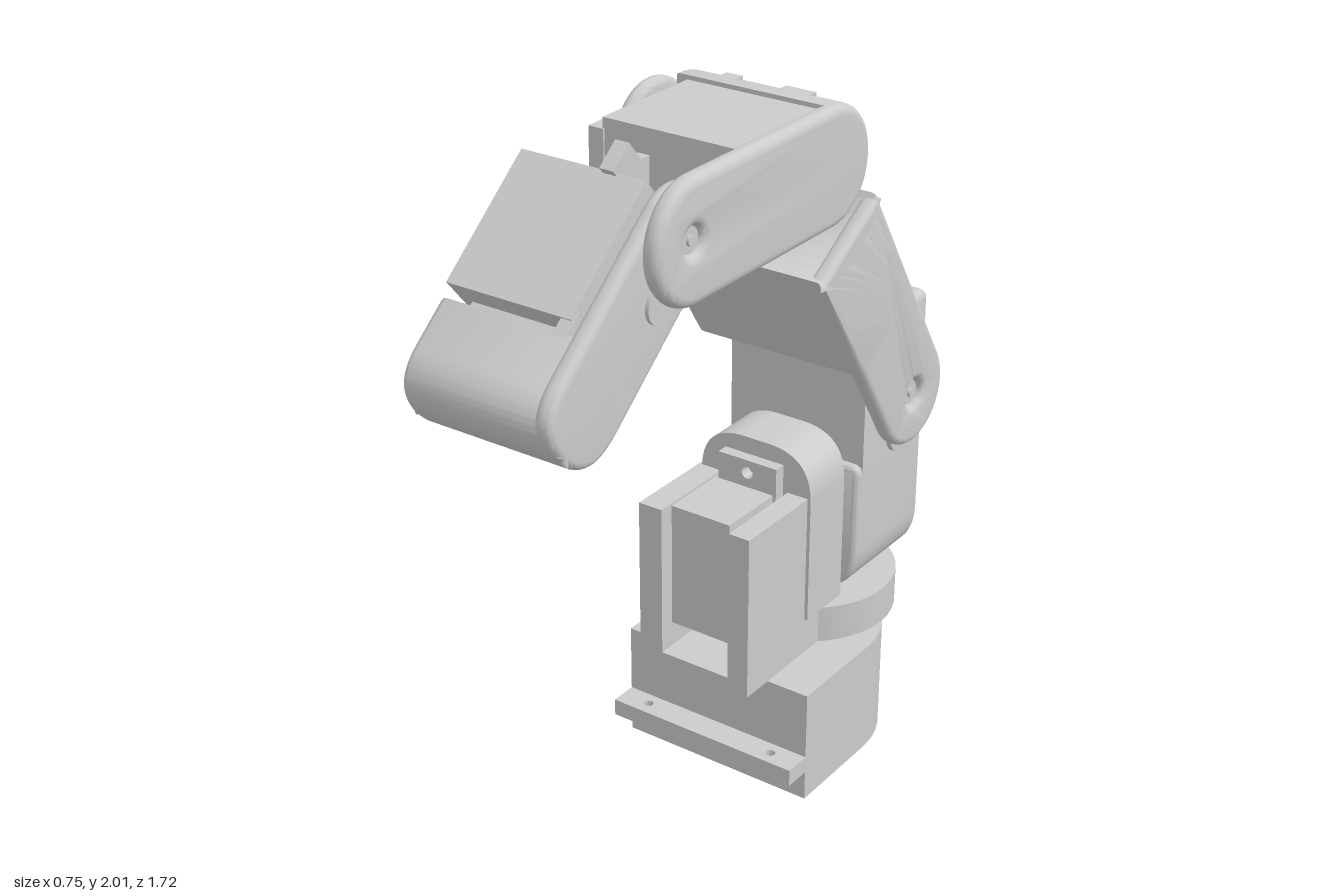
import * as THREE from 'three';
import { toCreasedNormals } from 'three/addons/utils/BufferGeometryUtils.js';

const grey = new THREE.MeshStandardMaterial({ color: 0xcccccc });

function add(parent, name, geo) {
  const mesh = new THREE.Mesh(geo, grey);
  mesh.name = name;
  parent.add(mesh);
  return mesh;
}

function subgroup(parent, name) {
  const g = new THREE.Group();
  g.name = name;
  parent.add(g);
  return g;
}

// Box given by its limits
function box(parent, name, x0, x1, y0, y1, z0, z1) {
  const geo = new THREE.BoxGeometry(x1 - x0, y1 - y0, z1 - z0);
  geo.translate((x0 + x1) / 2, (y0 + y1) / 2, (z0 + z1) / 2);
  return add(parent, name, geo);
}

// Extrusion of exact thickness with edges rounded inwards
function extrude(shape, depth, bevel = 0) {
  const geo = new THREE.ExtrudeGeometry(shape, {
    depth: depth - 2 * bevel, bevelEnabled: bevel > 0, bevelSize: bevel,
    bevelThickness: bevel, bevelOffset: -bevel, bevelSegments: 4, curveSegments: 20,
  });
  geo.translate(0, 0, bevel);
  return toCreasedNormals(geo, 0.6);
}

// Shape drawn in (z, y), running across x
const acrossX = (parent, name, shape, x0, x1, bevel) =>
  add(parent, name, extrude(shape, x1 - x0, bevel).rotateY(-Math.PI / 2).translate(x1, 0, 0));
// Shape drawn in (x, y), running along z
const alongZ = (parent, name, shape, z0, z1, bevel) =>
  add(parent, name, extrude(shape, z1 - z0, bevel).translate(0, 0, z0));
// Shape drawn in (x, -z), running upwards
const upY = (parent, name, shape, y0, y1, bevel) =>
  add(parent, name, extrude(shape, y1 - y0, bevel).rotateX(-Math.PI / 2).translate(0, y0, 0));

// Polygon of [x, y, cornerRadius] points, counter-clockwise
function poly(points) {
  const shape = new THREE.Shape();
  const n = points.length;
  points.forEach(([x, y, r = 0], i) => {
    const p = new THREE.Vector2(x, y);
    const toward = (q) => new THREE.Vector2(q[0], q[1]).sub(p).normalize().multiplyScalar(r).add(p);
    const a = toward(points[(i + n - 1) % n]);
    const b = toward(points[(i + 1) % n]);
    if (i === 0) shape.moveTo(a.x, a.y); else shape.lineTo(a.x, a.y);
    if (r > 0) shape.quadraticCurveTo(x, y, b.x, b.y);
  });
  return shape;
}

function hole(shape, x, y, r) {
  shape.holes.push(new THREE.Path().absarc(x, y, r, 0, Math.PI * 2, true));
  return shape;
}

// Straight strip from a to b at height y with optional round ends
function strip(a, b, y, r, roundA, roundB) {
  const s = new THREE.Shape();
  s.moveTo(a, y - r);
  s.lineTo(b, y - r);
  if (roundB) s.absarc(b, y, r, -Math.PI / 2, Math.PI / 2); else s.lineTo(b, y + r);
  s.lineTo(a, y + r);
  if (roundA) s.absarc(a, y, r, Math.PI / 2, Math.PI * 1.5);
  return s;
}

// Disc with its axis across x
function disc(parent, name, x0, x1, y, z, r) {
  const geo = new THREE.CylinderGeometry(r, r, x1 - x0, 28).rotateZ(Math.PI / 2);
  return add(parent, name, geo.translate((x0 + x1) / 2, y, z));
}

// Horn and screw head seen inside a joint hole
function joint(parent, x, dir, y, z) {
  const put = (name, a, b, r) => disc(parent, name, Math.min(x + a * dir, x + b * dir), Math.max(x + a * dir, x + b * dir), y, z, r);
  put('jointHorn', -0.09, -0.03, 0.075);
  put('jointRing', -0.04, -0.018, 0.034);
  put('jointScrew', -0.03, -0.01, 0.014);
}

function buildBase(root) {
  const g = subgroup(root, 'base');
  const body = new THREE.Shape();
  body.moveTo(-0.3, 0.1);
  body.lineTo(0.3, 0.1);
  body.lineTo(0.3, 0.406);
  body.absarc(0, 0.406, 0.3, 0, Math.PI);
  upY(g, 'baseBody', hole(body, 0, 0.406, 0.045), 0, 0.34);
  const lip = poly([[-0.3, 0.02], [0.3, 0.02], [0.3, 0.12], [-0.3, 0.12]]);
  hole(lip, -0.21, 0.06, 0.014);
  hole(lip, 0.21, 0.06, 0.014);
  upY(g, 'mountingLip', lip, 0.09, 0.14);
}

function buildTurntable(root) {
  const g = subgroup(root, 'turntable');
  upY(g, 'turntableDisc', new THREE.Shape().absarc(0, 0.55, 0.26, 0, Math.PI * 2), 0.34, 0.45);
  box(g, 'turntableNeck', -0.19, 0.17, 0.34, 0.45, -0.55, -0.26);
  // Open tray that holds the turning servo
  alongZ(g, 'servoTray', poly([[-0.19, 0.34], [0.17, 0.34], [0.17, 0.83], [0.105, 0.83],
    [0.105, 0.38], [-0.115, 0.38], [-0.115, 0.83], [-0.19, 0.83]]), -0.29, 0);
  box(g, 'trayBack', -0.19, 0.17, 0.34, 0.83, -0.45, -0.29);
  box(g, 'turnServo', -0.11, 0.08, 0.46, 0.828, -0.25, -0.04);
  const flange = poly([[-0.1, 0.38], [0.09, 0.38], [0.09, 0.91], [-0.1, 0.91]]);
  hole(flange, -0.005, 0.42, 0.018);
  hole(flange, -0.005, 0.872, 0.018);
  alongZ(g, 'servoFlange', flange, -0.285, -0.245);
  alongZ(g, 'archPlate', poly([[-0.18, 0.45], [0.18, 0.45], [0.18, 0.96, 0.14], [-0.18, 0.96, 0.14]]), -0.45, -0.28);
}

function buildShoulder(root) {
  const g = subgroup(root, 'shoulder');
  const outline = (top, notch) => poly([[-0.22, 0.45, 0.15], [0.22, 0.45, 0.15], [0.22, top, 0.03],
    [-0.22, top, 0.03], ...notch]);
  const notch = [[-0.22, 1.2], [-0.12, 1.2], [-0.12, 0.65], [-0.22, 0.65]];
  alongZ(g, 'shoulderBack', outline(1.28, []), -0.815, -0.74, 0.04);
  alongZ(g, 'shoulderCore', outline(1.28, notch), -0.78, -0.5);
  alongZ(g, 'shoulderFront', outline(1.28, []), -0.51, -0.48);
  alongZ(g, 'shoulderFrontPad', outline(0.86, []), -0.51, -0.455, 0.015);
  disc(g, 'shoulderCap', 0.21, 0.235, 0.9, -0.66, 0.06);
}

function buildUpperArm(root) {
  const g = subgroup(root, 'upperArm');
  g.position.set(0, 1.03, -0.652);
  g.rotation.x = -THREE.MathUtils.degToRad(57.6);
  const elbow = 0.936, r = 0.15;
  acrossX(g, 'shoulderPlate', hole(strip(0, 0.68, 0, r, true, false), 0, 0, 0.042), 0.225, 0.276, 0.02);
  acrossX(g, 'elbowPlate', hole(strip(0.3, elbow, 0, r, false, true), elbow, 0, 0.042), -0.265, -0.222, 0.018);
  // Middle block, hollowed at the top to clear the forearm
  const block = new THREE.Shape();
  const half = Math.asin(r / 0.29);
  block.moveTo(0.277, -r);
  block.lineTo(0.688, -r);
  block.absarc(elbow, 0, 0.29, Math.PI + half, Math.PI - half, true);
  block.lineTo(0.277, r);
  acrossX(g, 'armBlock', block, -0.265, 0.276, 0.02);
  joint(g, 0.276, 1, 0, 0);
  joint(g, -0.265, -1, 0, elbow);
}

function buildForearm(root) {
  const g = subgroup(root, 'forearm');
  const plate = hole(strip(-0.208, 0.376, 1.82, 0.16, true, true), 0.39, 1.825, 0.035);
  acrossX(g, 'forearmPlate', plate, 0.222, 0.276, 0.025);
  acrossX(g, 'forearmShell', strip(-0.208, -0.19, 1.82, 0.16, true, false), -0.21, 0.276, 0.025);
  box(g, 'elbowServo', -0.165, 0.235, 1.68, 1.968, -0.22, 0.16);
  box(g, 'elbowServoFlange', -0.205, -0.16, 1.7, 1.94, 0.0, 0.165);
  // Small tabs and cable stub
  box(g, 'tab', -0.1, -0.05, 1.93, 1.978, -0.27, -0.21);
  box(g, 'tab', 0.08, 0.17, 1.93, 1.978, -0.27, -0.21);
  box(g, 'cableStub', -0.06, -0.025, 1.76, 1.9, 0.15, 0.245);
  joint(g, 0.276, 1, 1.825, 0.39);
}

function buildHand(root) {
  const g = subgroup(root, 'hand');
  g.position.set(0, 1.81, 0.378);
  g.rotation.x = THREE.MathUtils.degToRad(40);
  const plate = new THREE.Shape();
  plate.moveTo(0, -0.14);
  plate.lineTo(0.44, -0.14);
  plate.quadraticCurveTo(0.59, -0.14, 0.59, 0.01);
  plate.quadraticCurveTo(0.59, 0.14, 0.46, 0.14);
  plate.lineTo(0, 0.14);
  plate.absarc(0, 0, 0.14, Math.PI / 2, Math.PI * 1.5);
  acrossX(g, 'wristPlate', plate, 0.18, 0.23, 0.02);
  // Tip shell wraps under and in front of the servo
  acrossX(g, 'tipShell', poly([[0.14, -0.14], [0.59, -0.14, 0.15], [0.59, 0.12, 0.12], [0.34, 0.12],
    [0.34, -0.08], [0.14, -0.08]]), -0.215, 0.23, 0.02);
  box(g, 'wristServo', -0.215, 0.15, -0.08, 0.125, -0.068, 0.305);
  box(g, 'wristServoFoot', -0.18, 0.14, -0.1, 0.05, 0.1, 0.345);
  box(g, 'servoTab', 0.12, 0.16, 0.04, 0.12, 0.28, 0.35);
  box(g, 'cableStub', 0.03, 0.07, 0.05, 0.145, -0.14, -0.06);
  disc(g, 'wristCap', 0.22, 0.24, -0.03, 0.15, 0.05);
}

export function createModel() {
  const model = new THREE.Group();
  model.name = 'robotArm';
  const root = subgroup(model, 'arm');
  root.rotation.y = THREE.MathUtils.degToRad(10);
  buildBase(root);
  buildTurntable(root);
  buildShoulder(root);
  buildUpperArm(root);
  buildForearm(root);
  buildHand(root);
  return model;
}
